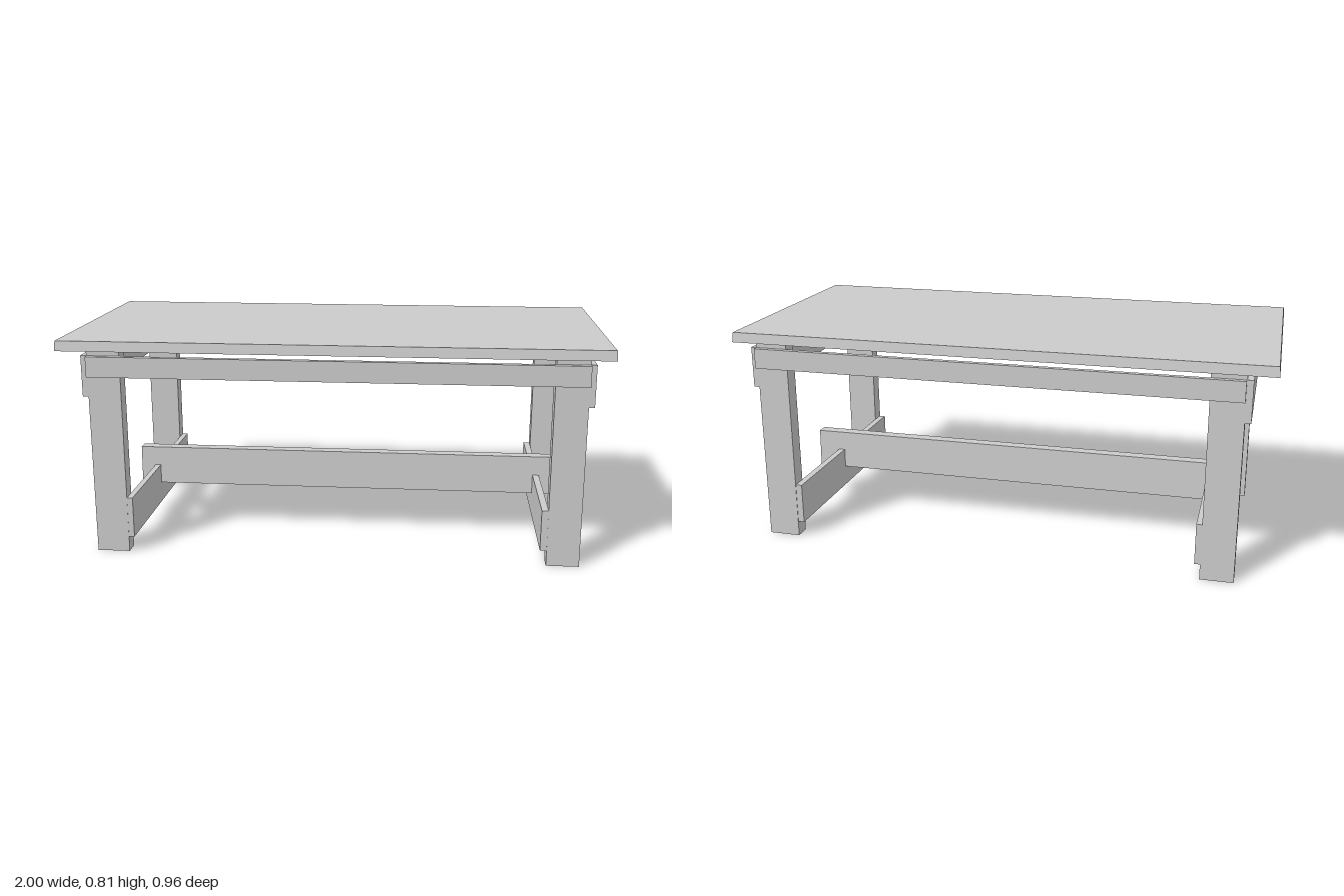
import * as THREE from 'three';

const material = new THREE.MeshStandardMaterial({ color: 0xcccccc, flatShading: true });

// Plank from [min, max] ranges; its top face is drawn in by insetX and insetZ
function plank(name, [x0, x1], [y0, y1], [z0, z1], insetX = 0, insetZ = 0) {
  const w = x1 - x0, h = y1 - y0, d = z1 - z0;
  const geometry = new THREE.BoxGeometry(w, h, d);
  const p = geometry.attributes.position;
  for (let i = 0; i < p.count; i++) {
    if (p.getY(i) > 0) {
      p.setX(i, p.getX(i) - Math.sign(p.getX(i)) * insetX);
      p.setZ(i, p.getZ(i) - Math.sign(p.getZ(i)) * insetZ);
    }
  }
  geometry.computeVertexNormals();
  const mesh = new THREE.Mesh(geometry, material);
  mesh.name = name;
  mesh.position.set((x0 + x1) / 2, (y0 + y1) / 2, (z0 + z1) / 2);
  return mesh;
}

export function createModel() {
  const table = new THREE.Group();
  table.name = 'trestleTable';

  // Slab
  table.add(plank('tableTop', [-1, 0.995], [0.778, 0.815], [-0.478, 0.478], 0.003, 0.005));

  // Four legs
  const legX = { right: [-0.895, -0.773], left: [0.792, 0.912] };
  const legZ = { front: [0.383, 0.441], back: [-0.451, -0.391] };
  for (const [side, x] of Object.entries(legX))
    for (const [end, z] of Object.entries(legZ))
      table.add(plank(`${end}${side === 'left' ? 'Left' : 'Right'}Leg`, x, [0, 0.78], z));

  // Long rails on the outside of the legs, just below the slab
  table.add(plank('frontRail', [-0.893, 0.912], [0.68, 0.756], [0.44, 0.463]));
  table.add(plank('backRail', [-0.893, 0.912], [0.68, 0.756], [-0.471, -0.45]));

  // Deep end rails on the outside of the legs
  table.add(plank('rightEndRail', [-0.917, -0.894], [0.602, 0.756], [-0.451, 0.44]));
  table.add(plank('leftEndRail', [0.911, 0.933], [0.602, 0.756], [-0.451, 0.44]));

  // Cross stretchers on the inside of the legs
  table.add(plank('rightCrossStretcher', [-0.774, -0.752], [0.058, 0.213], [-0.449, 0.44]));
  table.add(plank('leftCrossStretcher', [0.768, 0.793], [0.058, 0.213], [-0.449, 0.44]));

  // Long stretcher, lapped over the cross stretchers with its ends standing out
  table.add(plank('longStretcher', [-0.83, 0.878], [0.138, 0.289], [-0.03, 0.025], 0, 0.005));

  return table;
}
